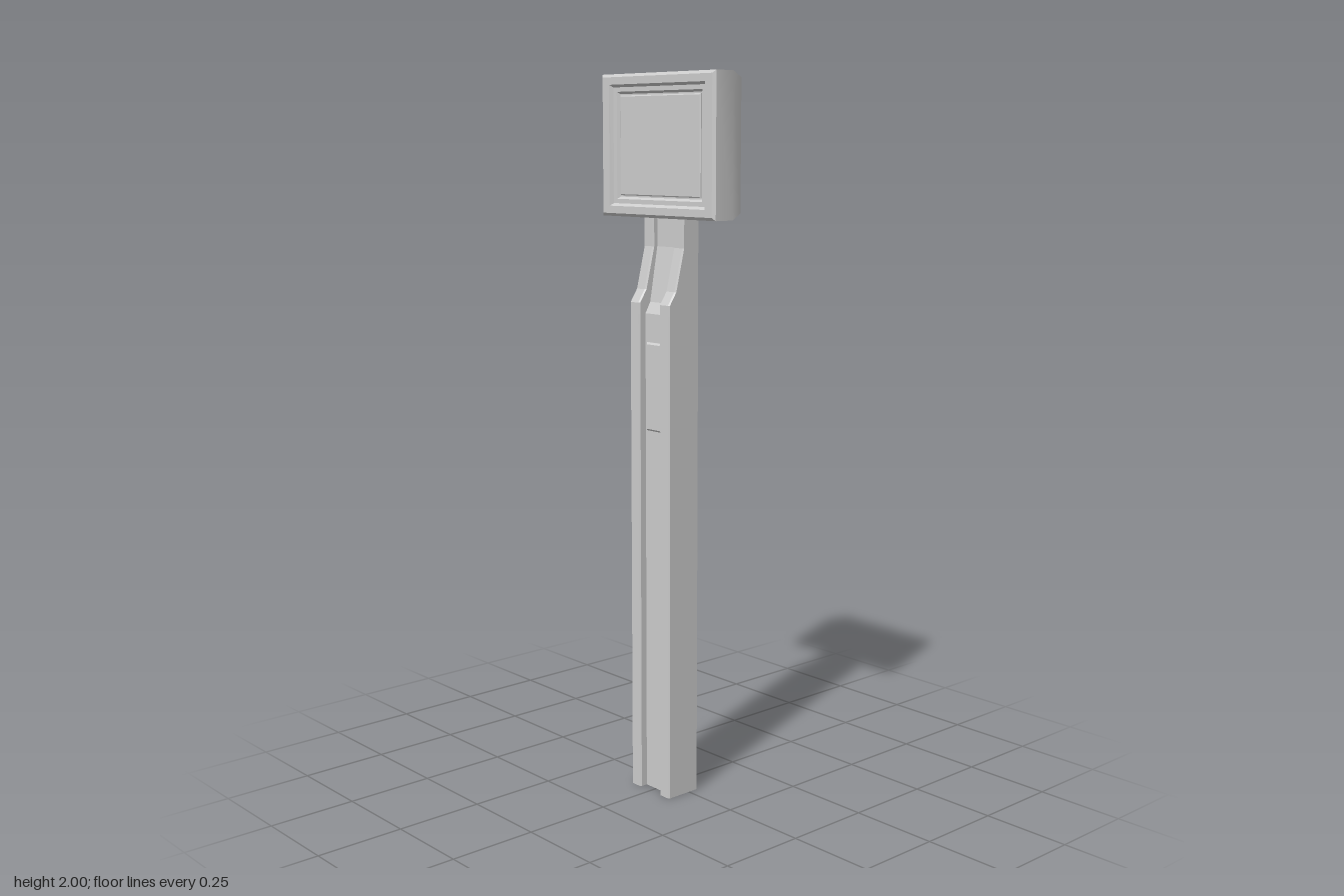
import * as THREE from 'three';
import { toCreasedNormals } from 'three/addons/utils/BufferGeometryUtils.js';

const material = new THREE.MeshStandardMaterial({ color: 0xcccccc });

// Skin closed counter-clockwise outlines [x, y] stacked along z, with end caps.
function loft(rings) {
  const pos = [];
  const put = (ring, i) => pos.push(ring.pts[i][0], ring.pts[i][1], ring.z);
  const n = rings[0].pts.length;
  for (let r = 0; r < rings.length - 1; r++) {
    const a = rings[r], b = rings[r + 1];
    for (let i = 0; i < n; i++) {
      const j = (i + 1) % n;
      put(a, i); put(a, j); put(b, j);
      put(a, i); put(b, j); put(b, i);
    }
  }
  const cap = (ring, flip) => {
    const outline = ring.pts.map(([x, y]) => new THREE.Vector2(x, y));
    for (const [i, j, k] of THREE.ShapeUtils.triangulateShape(outline, [])) {
      put(ring, i); put(ring, flip ? k : j); put(ring, flip ? j : k);
    }
  };
  cap(rings[0], true);
  cap(rings[rings.length - 1], false);
  const geometry = new THREE.BufferGeometry();
  geometry.setAttribute('position', new THREE.Float32BufferAttribute(pos, 3));
  return geometry;
}

// Rectangle outline at depth z.
const rect = (hw, hh, z) => ({ z, pts: [[-hw, -hh], [hw, -hh], [hw, hh], [-hw, hh]] });

// Channel-shaped handle section at height y: two chamfered rails and a groove floor.
function channel(y, front, floor) {
  const c = 0.004, back = -0.03, outer = 0.08, inner = 0.041;
  const half = [
    [outer, back], [outer, front - c], [outer - c, front],
    [inner + c, front], [inner, front - c], [inner, floor],
  ];
  const right = half.map(([x, z]) => [x, -z]);
  const left = half.map(([x, z]) => [-x, -z]).reverse();
  // reversed so the outline runs counter-clockwise seen from above
  return { z: y, pts: [...right, ...left].reverse() };
}

function addMesh(group, name, geometry, crease = Math.PI / 6) {
  const mesh = new THREE.Mesh(toCreasedNormals(geometry, crease), material);
  mesh.name = name;
  group.add(mesh);
  return mesh;
}

export function createModel() {
  const group = new THREE.Group();
  group.name = 'handheldDevice';

  // Handle: thick grip that tapers back into a thin neck
  const handle = loft([
    channel(0, 0.076, 0.053),
    channel(1.36, 0.076, 0.053),
    channel(1.39, 0.076, 0.036),
    channel(1.425, 0.053, 0.03),
    channel(1.54, 0.025, 0.01),
    channel(1.66, 0.025, 0.01),
  ].map((ring) => {
    const area = THREE.ShapeUtils.area(ring.pts.map(([x, y]) => new THREE.Vector2(x, y)));
    return area > 0 ? ring : { z: ring.z, pts: [...ring.pts].reverse() };
  }));
  handle.rotateX(-Math.PI / 2);
  addMesh(group, 'handle', handle, 0.15);

  // Raised slide button in the groove
  const button = addMesh(group, 'button', loft([
    rect(0.031, 0.122, 0.045),
    rect(0.031, 0.122, 0.057),
    rect(0.026, 0.117, 0.062),
  ]), 0.15);
  button.position.y = 1.16;

  // Head: bevelled back shell, front rim and stepped recess around the screen
  const head = addMesh(group, 'head', loft([
    rect(0.168, 0.135, -0.077),
    rect(0.21, 0.175, -0.06),
    rect(0.227, 0.191, -0.015),
    rect(0.227, 0.191, 0.045),
    rect(0.219, 0.183, 0.052),
    rect(0.192, 0.163, 0.052),
    rect(0.185, 0.156, 0.042),
    rect(0.171, 0.144, 0.042),
    rect(0.165, 0.138, 0.034),
  ]));
  head.position.y = 1.809;

  // Screen panel set in the recess
  const screen = addMesh(group, 'screen', loft([
    rect(0.161, 0.134, 0.03),
    rect(0.161, 0.134, 0.037),
    rect(0.158, 0.131, 0.039),
  ]), 0.15);
  screen.position.y = 1.809;

  return group;
}
